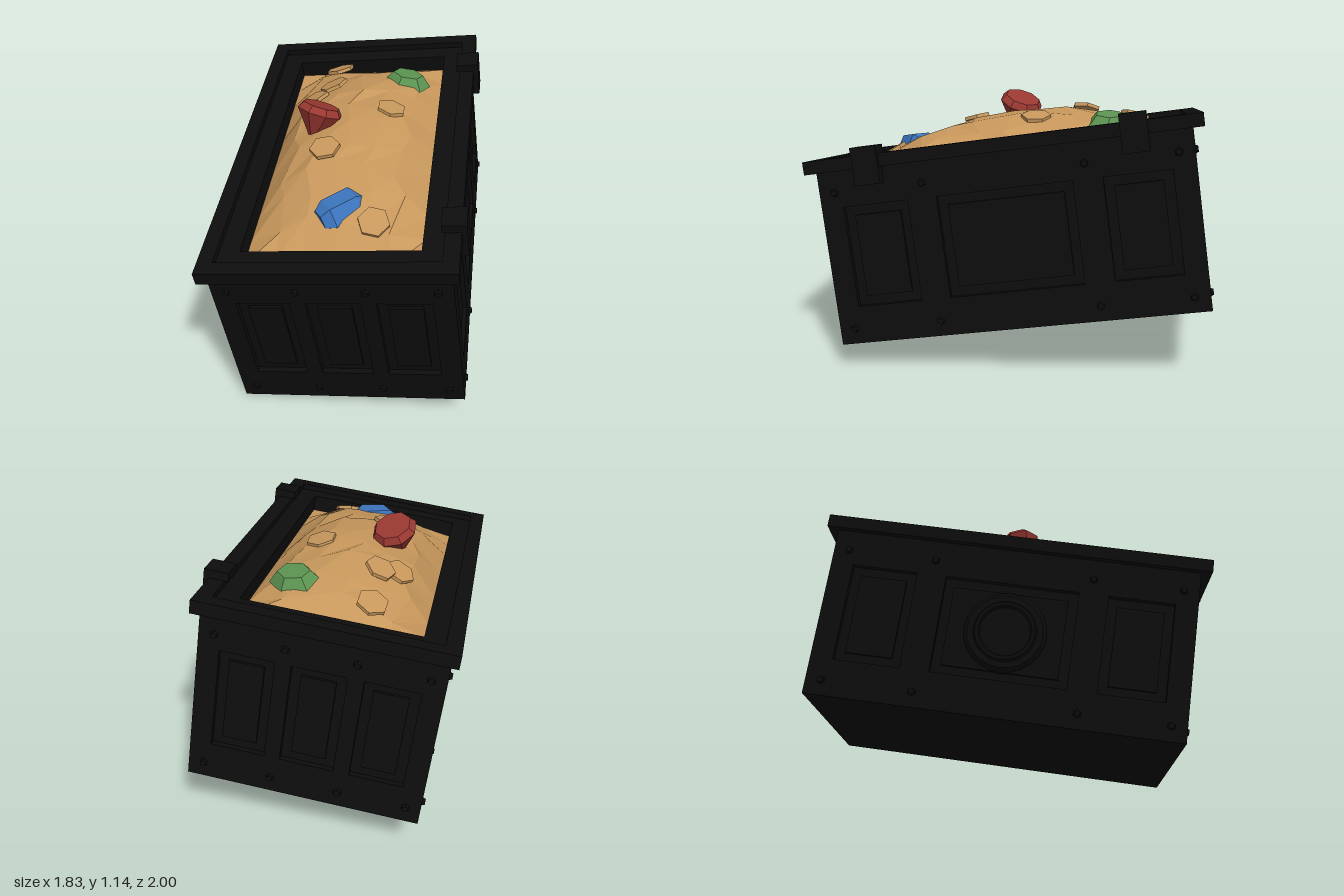
import * as THREE from 'three';

const mat = (name, color) => {
  const m = new THREE.MeshStandardMaterial({ color, flatShading: true });
  m.name = name;
  return m;
};

export function createModel() {
  const black = mat('black iron', 0x0d0d0d);
  const gold = mat('gold', 0xc8985c);
  const red = mat('ruby red', 0x9a3832);
  const blue = mat('sapphire blue', 0x3c74bc);
  const green = mat('emerald green', 0x5c9452);

  const model = new THREE.Group();
  const chest = new THREE.Group();
  chest.name = 'treasureChest';
  // turned on its vertical axis, then tipped forward
  chest.rotation.set(0.187, 0.672, 0, 'XYZ');
  chest.position.set(0, 0.17, -0.1);
  model.add(chest);

  const add = (name, geo, material, x = 0, y = 0, z = 0, parent = chest) => {
    const m = new THREE.Mesh(geo, material);
    m.name = name;
    m.position.set(x, y, z);
    parent.add(m);
    return m;
  };
  const box = (w, h, d) => new THREE.BoxGeometry(w, h, d);
  const trace = (path, x0, y0, x1, y1) => {
    path.moveTo(x0, y0);
    path.lineTo(x1, y0);
    path.lineTo(x1, y1);
    path.lineTo(x0, y1);
    path.closePath();
    return path;
  };
  const plate = (outer, holes, depth) => {
    const s = trace(new THREE.Shape(), ...outer);
    holes.forEach((h) => s.holes.push(trace(new THREE.Path(), ...h)));
    return new THREE.ExtrudeGeometry(s, { depth, bevelEnabled: false });
  };
  // horizontal rectangular ring, half sizes outside and inside
  const ring = (ox, oz, ix, iz, h) =>
    plate([-ox, -oz, ox, oz], [[-ix, -iz, ix, iz]], h).rotateX(-Math.PI / 2);

  // Body walls, floor and rim
  const HX = 0.482, HZ = 0.786, T = 0.025;
  add('bodyWalls', ring(HX - T, HZ - T, 0.36, 0.68, 0.775), black);
  add('floor', box(2 * HX, 0.03, 2 * HZ), black, 0, 0.015, 0);
  add('rim', ring(0.51, 0.83, 0.445, 0.765, 0.055), black, 0, 0.745, 0);

  // Panelled sides, each built facing +z and turned into place
  const rivetGeo = new THREE.CylinderGeometry(0.013, 0.018, 0.014, 6).rotateX(Math.PI / 2);
  const side = (name, half, dist, angle, panels, rivets) => {
    const g = new THREE.Group();
    g.name = name;
    g.rotation.y = angle;
    chest.add(g);
    const holes = panels.map(([c, w]) => [c - w, 0.16, c + w, 0.59]);
    add('panelFrame', plate([-half, 0, half, 0.75], holes, T), black, 0, 0, dist - T, g);
    panels.forEach(([c, w]) =>
      add('panel', box(2 * w - 0.08, 0.35, 0.012), black, c, 0.375, dist - T + 0.006, g));
    rivets.forEach((x) => [0.065, 0.655].forEach((y) =>
      add('rivet', rivetGeo, black, x, y, dist + 0.006, g)));
    return g;
  };
  const longPanels = [[-0.55, 0.14], [0, 0.285], [0.55, 0.14]];
  const endPanels = [[-0.285, 0.11], [0, 0.11], [0.285, 0.11]];
  const longRivets = [-0.72, -0.34, 0.34, 0.72];
  const endRivets = [-0.42, -0.14, 0.14, 0.42];
  const front = side('lockSide', HZ, HX, -Math.PI / 2, longPanels, longRivets);
  const back = side('hingeSide', HZ, HX, Math.PI / 2, longPanels, longRivets);
  side('nearEnd', HX - T, HZ, 0, endPanels, endRivets);
  side('farEnd', HX - T, HZ, Math.PI, endPanels, endRivets);

  // Round medallion
  add('medallion', new THREE.CylinderGeometry(0.16, 0.18, 0.02, 24).rotateX(Math.PI / 2), black, 0, 0.375, HX - 0.008, front);
  add('medallionRing', new THREE.TorusGeometry(0.12, 0.014, 6, 24), black, 0, 0.375, HX + 0.002, front);

  // Hinges
  for (const s of [-1, 1]) {
    add('hingePlate', box(0.11, 0.16, 0.05), black, s * 0.555, 0.755, HX + 0.025, back);
    add('hingeKnuckle', box(0.11, 0.035, 0.09), black, s * 0.555, 0.817, HX - 0.005, back);
  }

  // Heap of gold
  const heap = (x, z) => {
    const u = 1 - Math.min(1, (x / 0.36) ** 2), v = 1 - Math.min(1, (z / 0.68) ** 2);
    const bump = Math.sin(x * 17 + z * 5) * Math.cos(z * 11 - x * 6);
    return 0.7 + 0.2 * (u * v) ** 0.7 + 0.014 * bump * Math.sqrt(u * v);
  };
  const heapGeo = new THREE.PlaneGeometry(0.72, 1.36, 6, 10).rotateX(-Math.PI / 2);
  const p = heapGeo.attributes.position;
  for (let i = 0; i < p.count; i++) {
    let x = p.getX(i), z = p.getZ(i);
    // jitter the inner points for uneven facets
    if (Math.abs(x) < 0.35 && Math.abs(z) < 0.67) {
      x += 0.03 * Math.sin(i * 12.9);
      z += 0.035 * Math.sin(i * 7.7);
    }
    p.setXYZ(i, x, heap(x, z), z);
  }
  heapGeo.computeVertexNormals();
  add('goldHeap', heapGeo, gold);

  // Loose coins resting on the slope
  const up = new THREE.Vector3(0, 1, 0);
  const coinGeo = new THREE.CylinderGeometry(0.066, 0.066, 0.016, 6);
  [[-0.134, -0.55, 0.02], [-0.124, -0.33, 0.022], [-0.2, -0.27, 0.008],
    [0.166, -0.13, 0.006], [-0.08, 0.18, 0.006], [0.16, 0.537, 0.008]].forEach(([x, z, lift], i) => {
    const e = 0.05;
    const n = new THREE.Vector3(heap(x - e, z) - heap(x + e, z), 2 * e, heap(x, z - e) - heap(x, z + e)).normalize();
    const c = add('coin', coinGeo, gold, x, heap(x, z) + lift, z);
    c.quaternion.setFromUnitVectors(up, n);
    c.rotateY(i * 0.7);
  });

  // Cut gems: a flat table, a girdle and a pointed base
  const gem = (name, material, sides, r, table, crown, depth) => {
    const pts = [[0, -depth], [r, 0], [r * table, crown], [0, crown]];
    const geo = new THREE.LatheGeometry(pts.map(([a, b]) => new THREE.Vector2(a, b)), sides);
    const m = add(name, geo, material, 0, 0, 0, model);
    return m;
  };
  const ruby = gem('redGem', red, 8, 0.102, 0.8, 0.03, 0.14);
  ruby.position.set(-0.12, 1.075, 0.13);
  ruby.rotation.set(-0.4, 0.3, 0);

  const emerald = gem('greenGem', green, 6, 0.115, 0.62, 0.05, 0.1);
  emerald.position.set(-0.12, 1.03, -0.415);
  emerald.rotation.set(-0.1, 0.25, -0.05);
  emerald.scale.z = 0.85;

  // Long prism gem with bevelled ends
  const prism = new THREE.LatheGeometry(
    [[0, -0.1], [0.05, -0.1], [0.078, -0.06], [0.078, 0.06], [0.05, 0.1], [0, 0.1]]
      .map(([a, b]) => new THREE.Vector2(a, b)), 6).rotateX(Math.PI / 2);
  const sapphire = add('blueGem', prism, blue, 0.3, 0.875, 0.39, model);
  sapphire.rotation.set(0.2, -0.24, 0.52, 'YXZ');

  return model;
}
